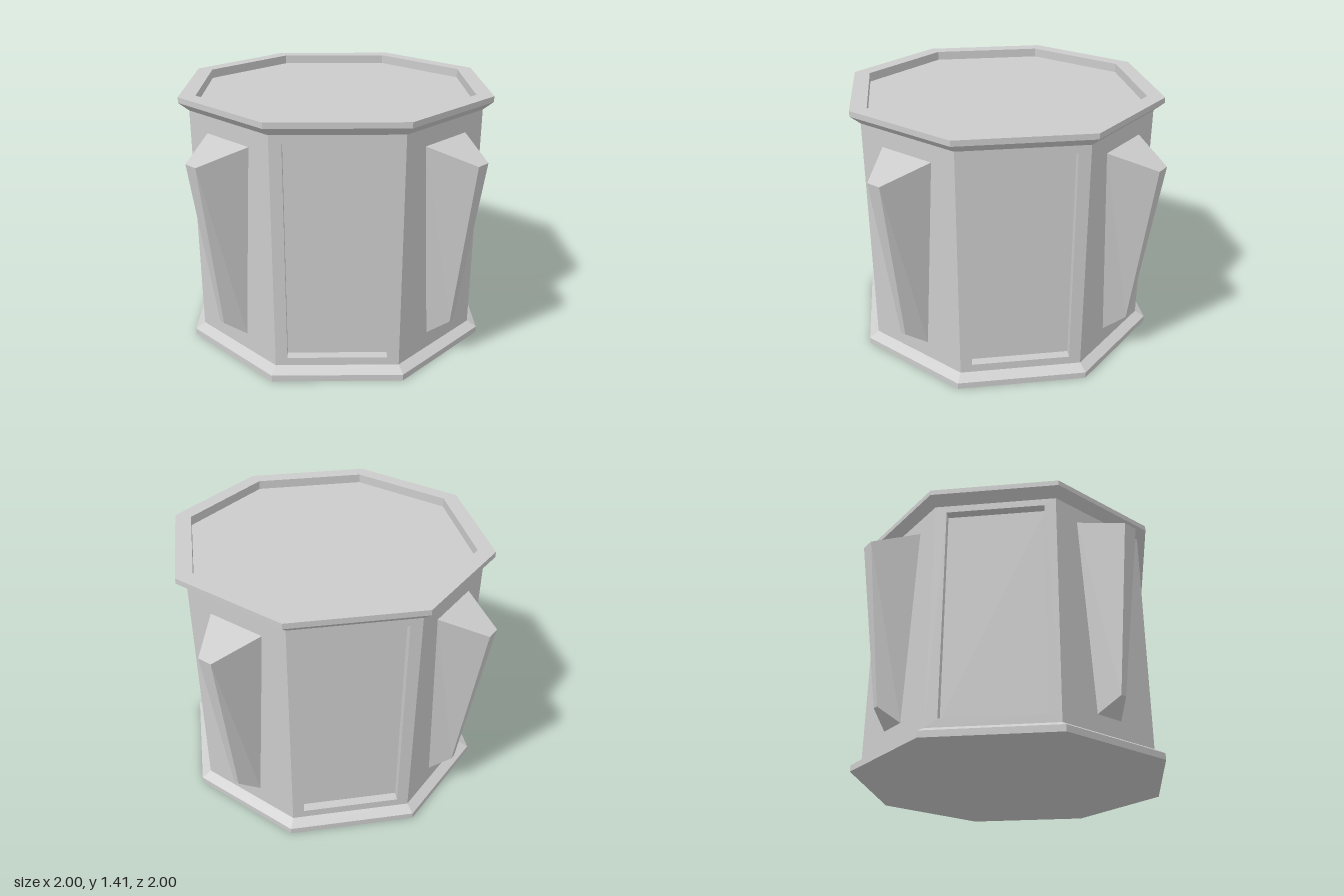
import * as THREE from 'three';

const material = new THREE.MeshStandardMaterial({ color: 0xcccccc, flatShading: true });

// Flat-faced mesh from rings of equal length, joined in order
function loft(name, rings, capEnd = false) {
  const pos = [];
  const tri = (a, b, c) => {
    const same = (p, q) => p.every((v, k) => v === q[k]);
    if (!same(a, b) && !same(b, c) && !same(a, c)) pos.push(...a, ...b, ...c);
  };
  for (let r = 0; r + 1 < rings.length; r++) {
    const lo = rings[r], hi = rings[r + 1], n = lo.length;
    for (let i = 0; i < n; i++) {
      const j = (i + 1) % n;
      tri(lo[i], lo[j], hi[j]);
      tri(lo[i], hi[j], hi[i]);
    }
  }
  const end = rings[rings.length - 1];
  if (capEnd) for (let i = 1; i + 1 < end.length; i++) tri(end[0], end[i], end[i + 1]);
  const geometry = new THREE.BufferGeometry();
  geometry.setAttribute('position', new THREE.Float32BufferAttribute(pos, 3));
  geometry.computeVertexNormals();
  return part(name, geometry);
}

function part(name, geometry) {
  const mesh = new THREE.Mesh(geometry, material);
  mesh.name = name;
  return mesh;
}

// Octagon with straight sides at distance a and half side width b
const octagon = ([a, b, y]) => [
  [-b, y, a], [b, y, a], [a, y, b], [a, y, -b],
  [b, y, -a], [-b, y, -a], [-a, y, -b], [-a, y, b],
];

// Upright rectangle facing +z, narrowing in the z direction when lofted
const rect = (w0, y0, z0, w1, y1, z1) => [[-w0, y0, z0], [w0, y0, z0], [w1, y1, z1], [-w1, y1, z1]];

export function createModel() {
  const model = new THREE.Group();
  const A = 0.77, B = 0.31, Y0 = 0.065, Y1 = 1.335;
  const height = Y1 - Y0, midY = (Y0 + Y1) / 2;

  // Base moulding with closed underside
  model.add(loft('base', [[0, 0, 0], [0.82, 0.332, 0], [0.82, 0.332, 0.035], [A, B, Y0]].map(octagon)));

  // Top rim with sunken lid
  model.add(loft('rim', [
    [A, B, Y1], [0.82, 0.332, 1.38], [0.82, 0.332, 1.41],
    [0.735, 0.295, 1.41], [0.735, 0.295, 1.36], [0, 0, 1.36],
  ].map(octagon)));

  // Diagonal side: frame around a recessed panel
  const depth = 0.05, dist = (A + B) / Math.SQRT2, w = (A - B) / Math.SQRT2;
  const pw = 0.263, p0 = 0.11, p1 = 1.295;
  const frame = new THREE.Shape([[-w, Y0], [w, Y0], [w, Y1], [-w, Y1]].map((p) => new THREE.Vector2(...p)));
  frame.holes.push(new THREE.Path([[-pw, p0], [-pw, p1], [pw, p1], [pw, p0]].map((p) => new THREE.Vector2(...p))));
  const frameGeometry = new THREE.ExtrudeGeometry(frame, { depth, bevelEnabled: false });
  frameGeometry.translate(0, 0, dist - depth);
  const panelGeometry = new THREE.PlaneGeometry(pw * 2, p1 - p0);
  panelGeometry.translate(0, (p0 + p1) / 2, dist - depth);

  const wallGeometry = new THREE.PlaneGeometry(B * 2, height);
  wallGeometry.translate(0, midY, A);

  for (let k = 0; k < 4; k++) {
    // Plain side with a tapered buttress
    const side = new THREE.Group();
    side.name = 'buttressSide';
    side.rotation.y = k * Math.PI / 2;
    side.add(part('wall', wallGeometry));
    side.add(loft('buttress', [
      rect(0.08, 0.16, A, 0.163, 1.243, A),
      rect(0.016, 0.243, 0.873, 0.04, 1.163, 1),
    ], true));

    const diagonal = new THREE.Group();
    diagonal.name = 'panelSide';
    diagonal.rotation.y = (k + 0.5) * Math.PI / 2;
    diagonal.add(part('panelFrame', frameGeometry), part('panel', panelGeometry));
    model.add(side, diagonal);
  }
  return model;
}
